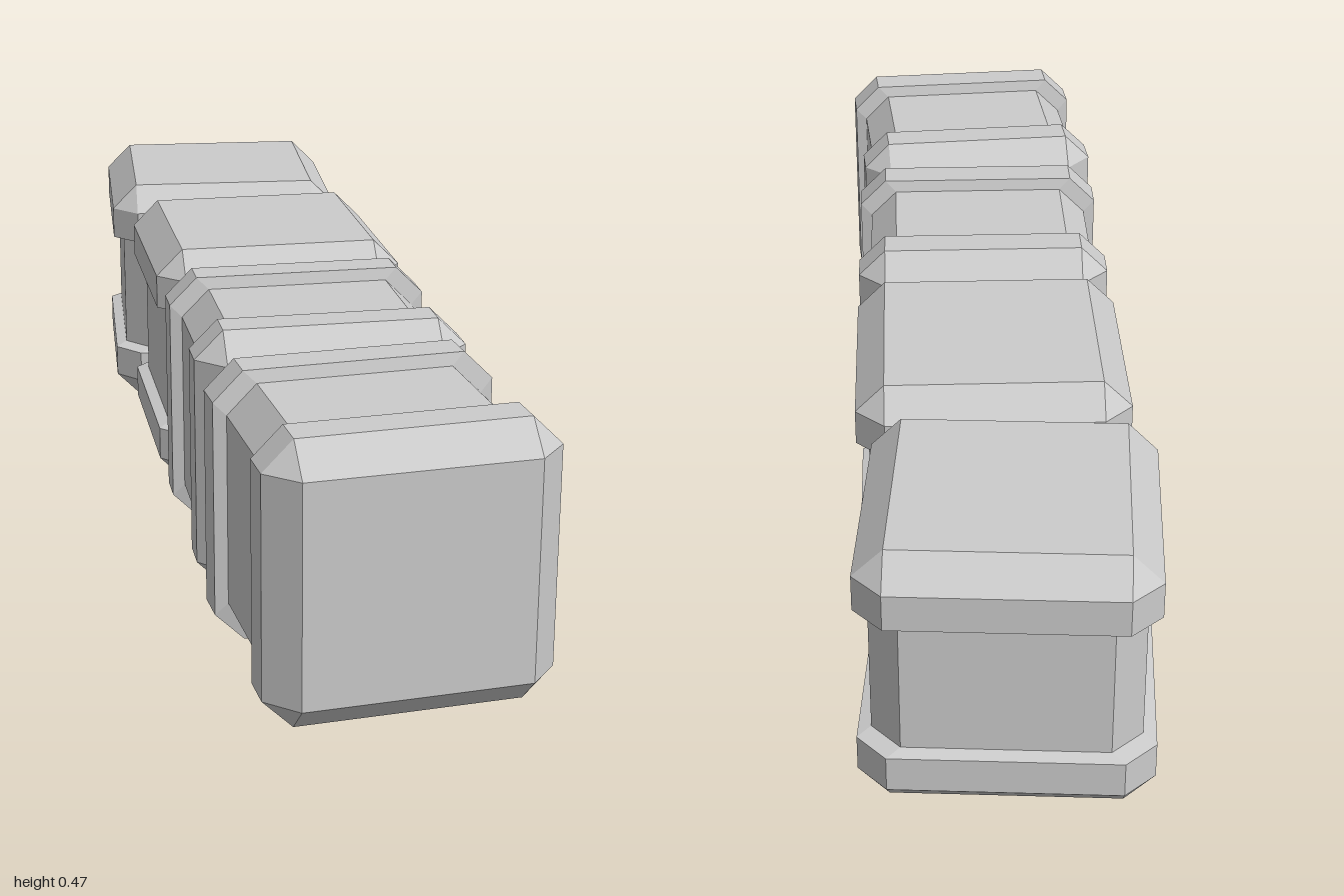
import * as THREE from 'three';

const HALF = 0.2365;  // half the size of a crate
const BEVEL = 0.05;   // corner cut
const BODY = 0.215;   // half width of the recessed middle

// Square with cut corners, counter-clockwise seen from above
function ring({ y, w, c }) {
  const points = [];
  let corner = [[w, c - w], [w - c, -w]];
  for (let k = 0; k < 4; k++) {
    for (const [x, z] of corner) points.push(new THREE.Vector3(x, y, z));
    corner = corner.map(([x, z]) => [z, -x]);
  }
  return points;
}

// Flat-faced skin through a stack of rings, optionally closed on top
function loft(sections, closeTop) {
  const rings = sections.map(ring);
  const pos = [];
  const tri = (a, b, c) => {
    if (new THREE.Triangle(a, b, c).getArea() < 1e-8) return;
    for (const p of [a, b, c]) pos.push(p.x, p.y, p.z);
  };
  for (let r = 0; r < rings.length - 1; r++) {
    const a = rings[r], b = rings[r + 1];
    for (let i = 0; i < 8; i++) {
      const j = (i + 1) % 8;
      tri(a[i], a[j], b[j]);
      tri(a[i], b[j], b[i]);
    }
  }
  if (closeTop) {
    const t = rings[rings.length - 1];
    for (let i = 1; i < 7; i++) tri(t[0], t[i], t[i + 1]);
  }
  const geometry = new THREE.BufferGeometry();
  geometry.setAttribute('position', new THREE.Float32BufferAttribute(pos, 3));
  geometry.computeVertexNormals();
  return geometry;
}

export function createModel() {
  const model = new THREE.Group();
  model.name = 'crateRow';
  const material = new THREE.MeshStandardMaterial({ color: 0xcccccc, flatShading: true });

  // Recessed middle
  const bodyGeometry = loft([
    { y: -0.119, w: BODY, c: BEVEL },
    { y: 0.119, w: BODY, c: BEVEL },
  ], false);

  // Wider end cap with a sloping lip and bevelled rim
  const capGeometry = loft([
    { y: 0.118, w: BODY, c: BEVEL },
    { y: 0.124, w: HALF, c: BEVEL },
    { y: HALF - BEVEL, w: HALF, c: BEVEL },
    { y: HALF, w: HALF - BEVEL, c: 0 },
  ], true);

  function addCrate(name, x, z, turn, onSide) {
    const crate = new THREE.Group();
    crate.name = name;
    const body = new THREE.Mesh(bodyGeometry, material);
    body.name = 'body';
    crate.add(body);
    ['topCap', 'bottomCap'].forEach((capName, i) => {
      const cap = new THREE.Mesh(capGeometry, material);
      cap.name = capName;
      cap.rotation.x = i * Math.PI;
      crate.add(cap);
    });
    crate.position.set(x, HALF, z);
    crate.rotation.set(onSide ? Math.PI / 2 : 0, turn, 0, 'YXZ');
    model.add(crate);
  }

  // Two crates lie on their sides in front, two stand upright behind
  addCrate('frontCrate', 0.011, 0.75, 0.077, true);
  addCrate('secondCrate', 0.003, 0.245, 0, true);
  addCrate('thirdCrate', 0.003, -0.255, 0, false);
  addCrate('backCrate', -0.011, -0.75, -0.077, false);
  return model;
}
